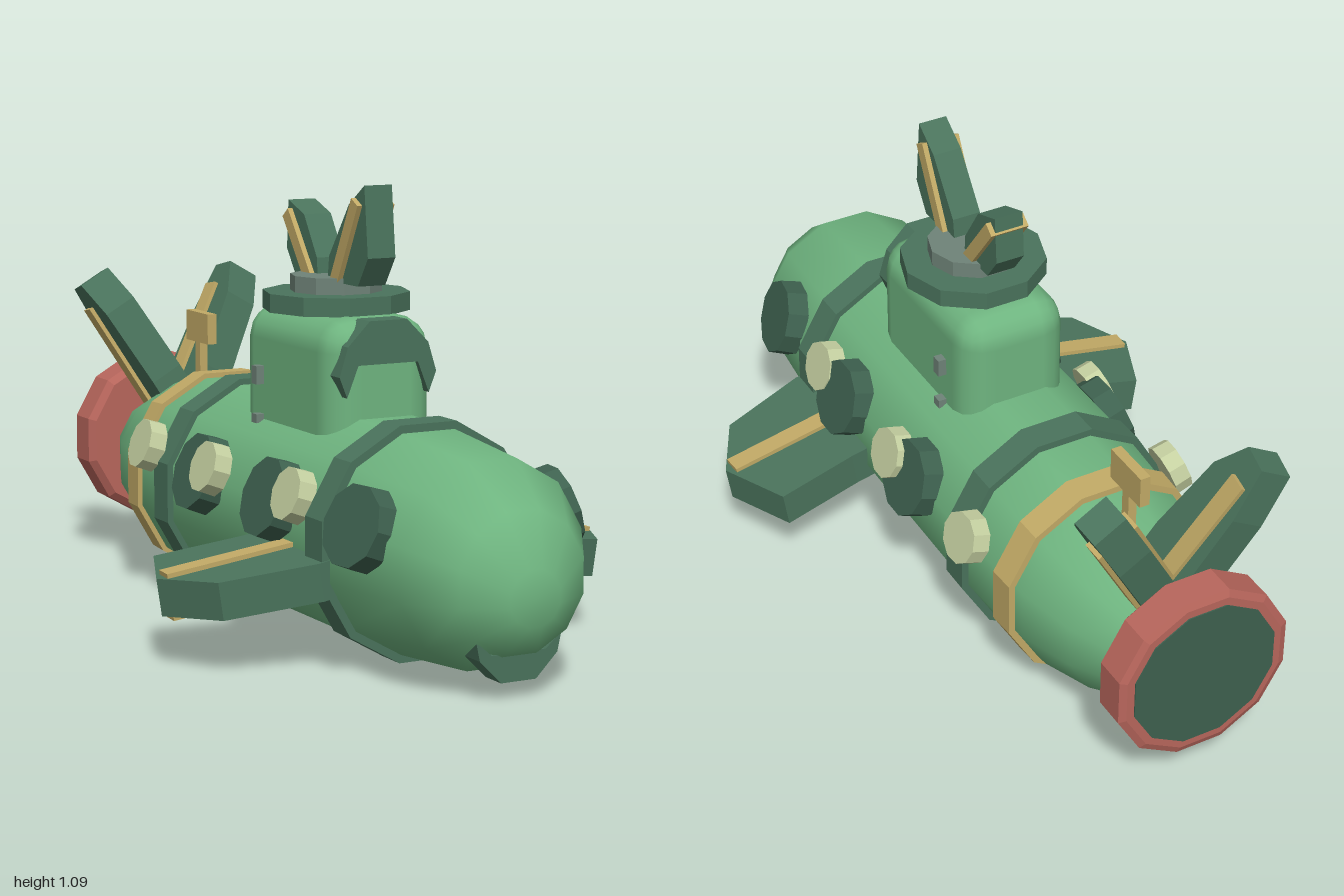
import * as THREE from 'three';
import { RoundedBoxGeometry } from 'three/addons/geometries/RoundedBoxGeometry.js';

const paint = (name, color) => Object.assign(new THREE.MeshStandardMaterial({ color }), { name });
const GREEN = paint('hull green', 0x6fb580);
const DARK = paint('fin green', 0x4a735c);
const DEEP = paint('porthole green', 0x3e614f);
const GOLD = paint('gold trim', 0xc2aa66);
const CREAM = paint('cream glass', 0xc4cfa0);
const RED = paint('red ring', 0xb8665c);
const GREY = paint('grey metal', 0x6f8378);

const AXIS = 0.283;

function add(parent, name, geo, mat, x = 0, y = 0, z = 0) {
  const mesh = new THREE.Mesh(geo, mat);
  mesh.name = name;
  mesh.position.set(x, y, z);
  parent.add(mesh);
  return mesh;
}

function faceted(geo) {
  const g = geo.index ? geo.toNonIndexed() : geo;
  g.computeVertexNormals();
  return g;
}

// Flat polygon given a thickness, centred on its own plane
function slab(points, thickness) {
  const shape = new THREE.Shape(points.map(([a, b]) => new THREE.Vector2(a, b)));
  const g = new THREE.ExtrudeGeometry(shape, { depth: thickness, bevelEnabled: false });
  return g.translate(0, 0, -thickness / 2);
}
// Slab drawn in (z, y), thickness along x
const sideSlab = (points, t) => slab(points, t).rotateY(-Math.PI / 2);

// Corners of a straight strip from p to q
function strip([ax, ay], [bx, by], w) {
  const l = Math.hypot(bx - ax, by - ay);
  const nx = (-(by - ay) / l) * w / 2, ny = ((bx - ax) / l) * w / 2;
  return [[ax + nx, ay + ny], [ax - nx, ay - ny], [bx - nx, by - ny], [bx + nx, by + ny]];
}

// Twelve-sided disc along z, with a flat side down
const drum = (r0, r1, len) =>
  faceted(new THREE.CylinderGeometry(r1, r0, len, 12).rotateY(Math.PI / 12).rotateX(Math.PI / 2));

function hull(parent) {
  // radius, z, vertical offset
  const rings = [
    [0.0, -0.93, 0.01], [0.12, -0.93, 0.01], [0.145, -0.88, 0.01], [0.207, -0.74, 0], [0.25, -0.59, 0],
    [0.262, -0.48, 0], [0.272, -0.32, 0], [0.272, 0.5, 0], [0.243, 0.82, 0],
    [0.165, 0.945, -0.015], [0.066, 1.0, -0.04], [0.0, 1.0, -0.04],
  ];
  const g = new THREE.LatheGeometry(rings.map(([r, z]) => new THREE.Vector2(r, z)), 12, Math.PI / 12);
  g.rotateX(Math.PI / 2);
  const pos = g.attributes.position;
  for (let i = 0; i < pos.count; i++) {
    pos.setY(i, pos.getY(i) + rings[i % rings.length][2]);
  }
  add(parent, 'hull', g, GREEN, 0, AXIS, 0);
  add(parent, 'frontBand', drum(0.288, 0.288, 0.08), DARK, 0, AXIS, 0.5);
  add(parent, 'rearBand', drum(0.288, 0.288, 0.08), DARK, 0, AXIS, -0.32);
  add(parent, 'goldBand', drum(0.27, 0.274, 0.07), GOLD, 0, AXIS, -0.525);

  // Tail ring with its closing disc
  add(parent, 'tailRing', drum(0.228, 0.228, 0.08), RED, 0, 0.32, -0.95);
  add(parent, 'tailRingFrontLip', drum(0.228, 0.21, 0.015), RED, 0, 0.32, -0.9025);
  add(parent, 'tailRingRearLip', drum(0.21, 0.228, 0.007), RED, 0, 0.32, -0.9935);
  add(parent, 'tailDisc', drum(0.19, 0.19, 0.006), DEEP, 0, 0.32, -0.997);

  // Chin under the nose and keel under the tail
  const chin = [[-0.11, 0.145], [-0.1, 0.1], [-0.045, 0.045], [0.045, 0.045], [0.1, 0.1], [0.11, 0.145], [0.07, 0.11], [-0.07, 0.11]];
  add(parent, 'chin', slab(chin, 0.065), DARK, 0, 0, 0.902);
  add(parent, 'keel', new THREE.BoxGeometry(0.08, 0.18, 0.18), DARK, 0, 0.13, -0.79);
}

function tower(parent) {
  add(parent, 'tower', new RoundedBoxGeometry(0.288, 0.44, 0.485, 2, 0.08), GREEN, 0, 0.56, 0.1);
  const visor = [[-0.13, 0.65], [-0.11, 0.6], [-0.08, 0.675], [0.08, 0.675], [0.11, 0.6], [0.13, 0.65], [0.108, 0.72], [0.05, 0.778], [-0.05, 0.778], [-0.108, 0.72]];
  add(parent, 'visor', slab(visor, 0.06), DARK, 0, 0, 0.322);
  const disc = (r, h) => faceted(new THREE.CylinderGeometry(r, r, h, 10).rotateY(Math.PI / 2));
  add(parent, 'hatchCollar', disc(0.18, 0.045), DARK, 0, 0.8, 0.095);
  add(parent, 'hatch', disc(0.112, 0.04), GREY, 0, 0.842, 0.095);

  // Pair of crest fins on the hatch
  const front = [[0.3, 1.09], [0.225, 1.04], [0.128, 0.91], [0.12, 0.85], [0.27, 0.85], [0.318, 0.92]];
  const rear = [[-0.082, 1.03], [-0.09, 0.91], [-0.045, 0.85], [0.07, 0.85], [0.066, 0.9], [0, 1.0]];
  add(parent, 'frontCrestFin', sideSlab(front, 0.074), DARK);
  add(parent, 'rearCrestFin', sideSlab(rear, 0.074), DARK);
  add(parent, 'frontCrestStrip', sideSlab(strip([0.275, 1.05], [0.17, 0.85], 0.035), 0.1), GOLD);
  add(parent, 'rearCrestStrip', sideSlab(strip([-0.075, 1.0], [0.04, 0.85], 0.035), 0.1), GOLD);

  // Mast behind the tower
  add(parent, 'mast', new THREE.BoxGeometry(0.022, 0.16, 0.028), GOLD, 0, 0.54, -0.655);
  add(parent, 'mastHead', new THREE.BoxGeometry(0.026, 0.08, 0.13), GOLD, 0, 0.648, -0.655);
}

// Everything repeated on each flank, built for +x
function flank() {
  const g = new THREE.Group();

  // Portholes, tilted up; the foremost one follows the nose
  const port = (r, t, yaw) =>
    faceted(new THREE.CylinderGeometry(r * 0.97, r, t, 10).rotateZ(-Math.PI / 2 + 0.33).rotateY(-yaw));
  for (const [x, z, yaw] of [[0.255, 0.675, 0.16], [0.272, 0.28, 0], [0.272, -0.095, 0]]) {
    add(g, 'porthole', port(0.1, 0.055, yaw), DEEP, x, 0.365, z);
  }
  for (const [x, z, yaw] of [[0.272, 0.39, 0], [0.287, -0.015, 0], [0.282, -0.39, -0.05]]) {
    add(g, 'lamp', port(0.066, 0.045, yaw), CREAM, x, 0.392, z);
  }

  // Dive plane, sloping down and outward
  const plane = new THREE.Group();
  plane.name = 'divePlane';
  plane.position.set(0.3, 0.215, 0);
  plane.rotation.z = -0.15;
  const outline = [[-0.08, 0.18], [0, 0.175], [0.21, 0.145], [0.287, 0.325], [0.205, 0.48], [-0.02, 0.545], [-0.08, 0.54]];
  add(plane, 'planeBody', slab(outline, 0.09).rotateX(Math.PI / 2), DARK);
  add(plane, 'planeStrip', slab(strip([-0.05, 0.345], [0.268, 0.325], 0.05), 0.112).rotateX(Math.PI / 2), GOLD);
  g.add(plane);

  // Tail fin, leaning outward
  const fin = new THREE.Group();
  fin.name = 'tailFin';
  fin.position.y = 0.389;
  fin.rotation.z = -Math.PI / 6;
  const blade = [[-0.85, 0.445], [-0.92, 0.425], [-0.918, 0.29], [-0.88, 0.05], [-0.7, 0.06], [-0.715, 0.15], [-0.78, 0.36]];
  add(fin, 'finBody', sideSlab(blade, 0.09), DARK);
  add(fin, 'finStrip', sideSlab(strip([-0.88, 0.37], [-0.82, 0.07], 0.05), 0.112), GOLD);
  g.add(fin);

  // Grab rungs on the tower
  add(g, 'upperRung', new THREE.BoxGeometry(0.04, 0.045, 0.026), GREY, 0.145, 0.612, -0.02);
  add(g, 'lowerRung', new THREE.BoxGeometry(0.04, 0.022, 0.026), GREY, 0.145, 0.505, -0.02);
  return g;
}

export function createModel() {
  const model = new THREE.Group();
  model.name = 'submarine';
  hull(model);
  tower(model);
  for (const side of [1, -1]) {
    const f = flank();
    f.name = side > 0 ? 'leftFlank' : 'rightFlank';
    f.scale.x = side;
    model.add(f);
  }
  return model;
}
